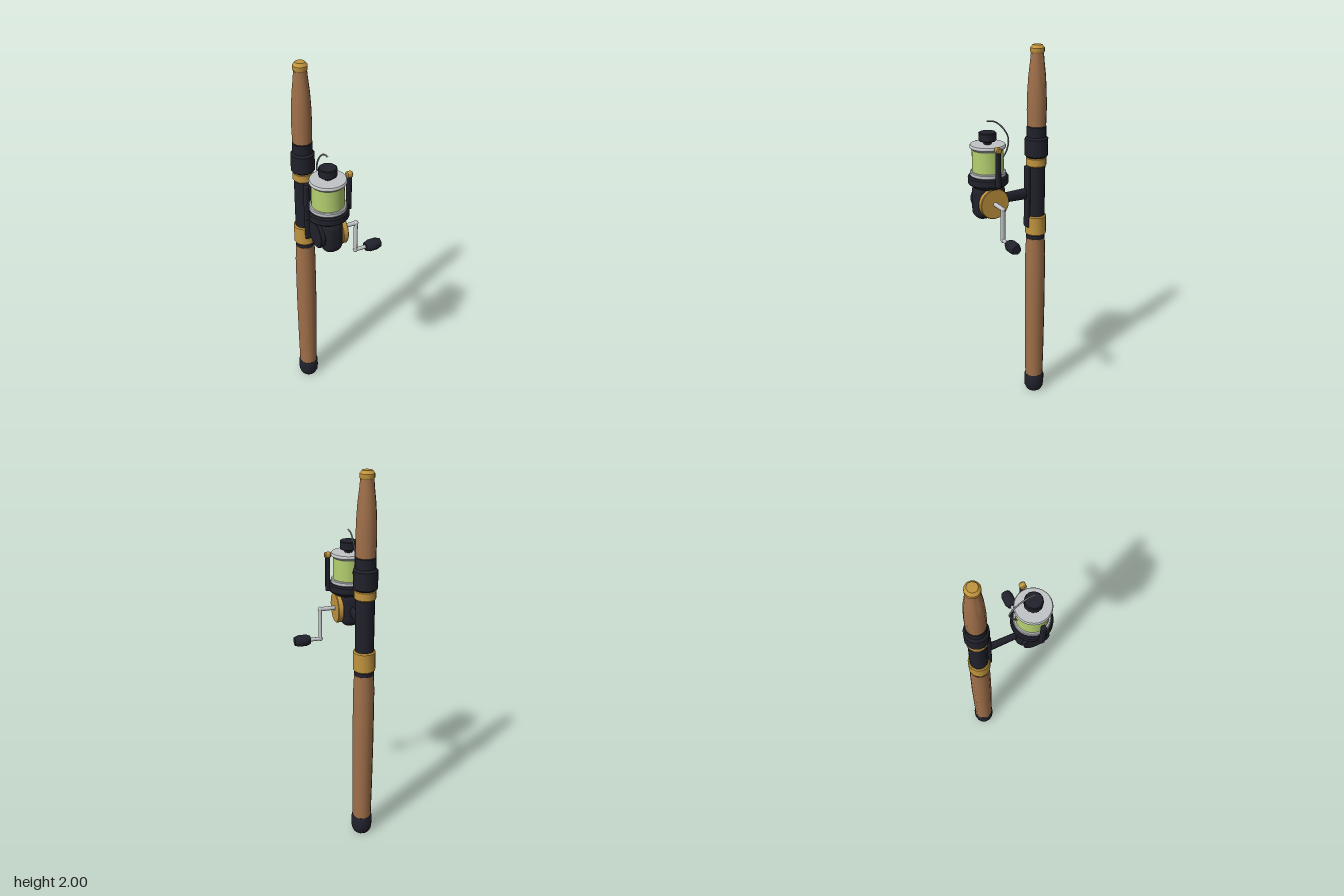
import * as THREE from 'three';
import { toCreasedNormals } from 'three/addons/utils/BufferGeometryUtils.js';
import { RoundedBoxGeometry } from 'three/addons/geometries/RoundedBoxGeometry.js';

const paint = (name, color) => {
  const m = new THREE.MeshStandardMaterial({ color });
  m.name = name;
  return m;
};

export function createModel() {
  const cork = paint('cork', 0xa0704a);
  const gold = paint('gold', 0xc2953e);
  const black = paint('black', 0x20212b);
  const silver = paint('silver', 0xc2c5c8);
  const steel = paint('steel', 0x7d8286);
  const green = paint('green line', 0xb5d070);

  const model = new THREE.Group();
  model.name = 'fishingRodAndReel';
  const rod = new THREE.Group();
  rod.name = 'rod';
  rod.position.set(-0.087, 0, -0.163);
  const reel = new THREE.Group();
  reel.name = 'reel';
  reel.position.set(-0.087, 0, 0.12);
  model.add(rod, reel);

  const add = (parent, name, geometry, material, x = 0, y = 0, z = 0) => {
    const mesh = new THREE.Mesh(geometry, material);
    mesh.name = name;
    mesh.position.set(x, y, z);
    parent.add(mesh);
    return mesh;
  };

  // Closed turned solid from [radius, height] pairs
  const turned = (profile, sides) => {
    const pts = [[0, profile[0][1]], ...profile, [0, profile.at(-1)[1]]];
    const g = new THREE.LatheGeometry(pts.map(p => new THREE.Vector2(...p)), sides);
    return toCreasedNormals(g, 0.6);
  };
  // Plain ring with small bevels
  const ring = (r, y0, y1, b = 0.006) => [[r - b, y0], [r, y0 + b], [r, y1 - b], [r - b, y1]];

  // Rod, from butt to tip
  const rodParts = [
    ['buttCap', black, [[0.044, 0], [0.054, 0.02], [0.057, 0.045], [0.057, 0.095], [0.052, 0.107]]],
    ['rearGrip', cork, [[0.051, 0.1], [0.054, 0.3], [0.056, 0.6], [0.055, 0.88], [0.051, 0.98]]],
    ['lowerCollar', black, ring(0.05, 0.975, 1.01)],
    ['lowerHood', gold, ring(0.057, 1.003, 1.113)],
    ['reelSeat', black, ring(0.048, 1.105, 1.4)],
    ['upperRing', gold, ring(0.054, 1.385, 1.435)],
    ['lockingNut', black, ring(0.061, 1.433, 1.542, 0.01)],
    ['upperCollar', black, ring(0.051, 1.535, 1.6)],
    ['foreGrip', cork, [[0.049, 1.598], [0.051, 1.68], [0.049, 1.77], [0.044, 1.85], [0.036, 1.92], [0.032, 1.965]]],
    ['tipCap', gold, [[0.031, 1.958], [0.036, 1.966], [0.036, 1.985], [0.024, 2]]],
  ];
  for (const [name, material, profile] of rodParts) add(rod, name, turned(profile, 14), material);

  // Foot and stem joining the reel to the seat
  add(reel, 'foot', new RoundedBoxGeometry(0.042, 0.34, 0.022, 2, 0.008), black, 0, 1.22, -0.229);
  const stem = add(reel, 'stem', new THREE.CylinderGeometry(0.014, 0.017, 0.2, 12), black, 0, 1.24, -0.14);
  stem.rotation.x = Math.PI / 2;
  stem.scale.z = 1.9;

  // Gear housing with a round plate on each side
  add(reel, 'housing', toCreasedNormals(new RoundedBoxGeometry(0.106, 0.19, 0.17, 4, 0.045), 0.6), black, 0, 1.248, 0);
  const sideDisc = (name, r, x0, x1, material) => {
    const disc = add(reel, name, turned(ring(r, x0, x1, 0.003), 24), material, 0, 1.244, 0);
    disc.rotation.z = -Math.PI / 2;
  };
  sideDisc('leftPlate', 0.08, 0.045, 0.074, gold);
  sideDisc('rightPlate', 0.07, -0.071, -0.045, black);

  // Rotor, spool and drag knob
  const spoolParts = [
    ['rotor', black, [[0.075, 1.32], [0.098, 1.336], [0.103, 1.343], [0.103, 1.374], [0.097, 1.382]], 32],
    ['lowerFlange', silver, ring(0.091, 1.38, 1.403, 0.004), 32],
    ['line', green, ring(0.08, 1.4, 1.519, 0.003), 32],
    ['upperFlange', silver, [[0.08, 1.515], [0.091, 1.526], [0.091, 1.534], [0.087, 1.54]], 32],
    ['dragPost', black, ring(0.02, 1.538, 1.56, 0.001), 12],
    ['dragKnob', black, ring(0.045, 1.556, 1.6, 0.004), 12],
  ];
  for (const [name, material, profile, sides] of spoolParts) add(reel, name, turned(profile, sides), material);

  // Bail arms, roller and wire
  for (const side of [-1, 1]) {
    const arm = new RoundedBoxGeometry(0.023, 0.19, 0.024, 2, 0.006);
    add(reel, side < 0 ? 'rightBailArm' : 'leftBailArm', arm, black, side * 0.111, 1.436, 0);
    add(reel, 'armMount', new THREE.BoxGeometry(0.025, 0.03, 0.024), black, side * 0.1, 1.36, 0);
  }
  const roller = add(reel, 'lineRoller', turned(ring(0.016, -0.016, 0.016, 0.005), 12), gold, 0.111, 1.533, 0);
  roller.rotation.z = Math.PI / 2;
  const wirePath = new THREE.CatmullRomCurve3([
    [1.655, 0.004], [1.645, -0.043], [1.605, -0.09], [1.55, -0.118], [1.49, -0.107], [1.45, -0.08],
  ].map(([y, z]) => new THREE.Vector3(0, y, z)));
  add(reel, 'bailWire', new THREE.TubeGeometry(wirePath, 32, 0.004, 8), steel);

  // Cranked handle
  const crank = new THREE.Group();
  crank.name = 'handle';
  reel.add(crank);
  const rodAlongX = (name, r, x0, x1, y) => {
    const g = new THREE.CylinderGeometry(r, r, x1 - x0, 12).rotateZ(Math.PI / 2);
    add(crank, name, g, silver, (x0 + x1) / 2, y, 0);
  };
  rodAlongX('handleShaft', 0.011, 0.07, 0.153, 1.243);
  rodAlongX('handleAxle', 0.01, 0.153, 0.215, 1.076);
  const arm = add(crank, 'handleArm', new THREE.CylinderGeometry(0.009, 0.009, 0.167, 12), silver, 0.153, 1.1595, 0);
  arm.scale.z = 1.5;
  for (const y of [1.243, 1.076]) add(crank, 'handleJoint', new THREE.SphereGeometry(0.013, 12, 8), silver, 0.153, y, 0);
  const grip = [[0.022, 0.21], [0.031, 0.231], [0.031, 0.273], [0.023, 0.295]];
  add(crank, 'handleGrip', turned(grip, 14), black, 0, 1.076, 0).rotation.z = -Math.PI / 2;

  return model;
}
